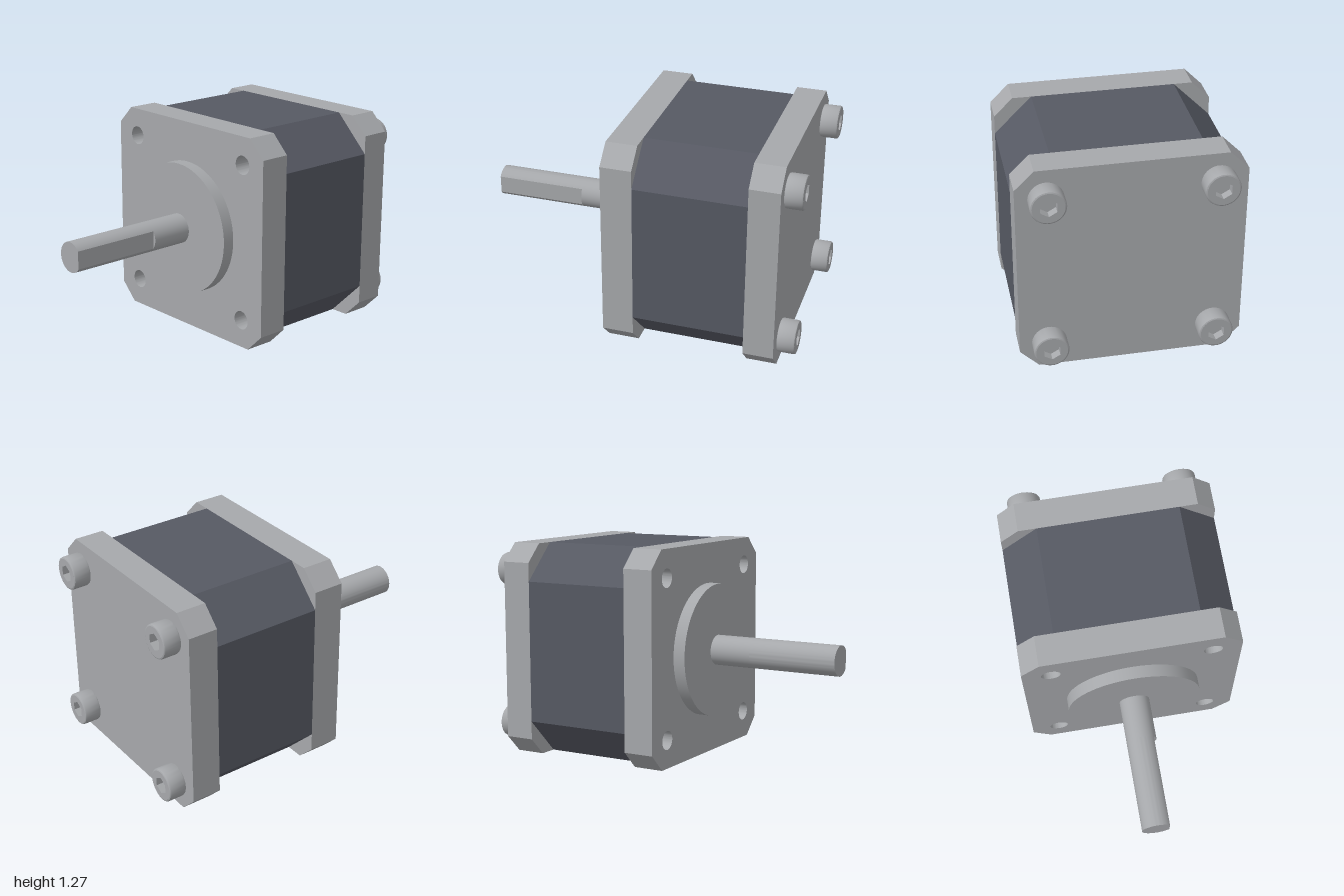
import * as THREE from 'three';
import { toCreasedNormals } from 'three/addons/utils/BufferGeometryUtils.js';

const HALF = 0.6375;   // half width of the square housing
const BOLT = 0.47;     // bolt offset from the axis

// square outline with chamfered corners
function chamferedSquare(cut) {
  const a = HALF, b = HALF - cut;
  return new THREE.Shape([
    [b, -a], [a, -b], [a, b], [b, a], [-b, a], [-a, b], [-a, -b], [-b, -a],
  ].map(([x, y]) => new THREE.Vector2(x, y)));
}

function circlePath(x, y, r) {
  const p = new THREE.Path();
  p.absarc(x, y, r, 0, Math.PI * 2, true);
  return p;
}

// extrude a shape along z between two planes, keeping hard edges crisp
function slab(shape, z0, z1) {
  const g = new THREE.ExtrudeGeometry(shape, { depth: z1 - z0, bevelEnabled: false, curveSegments: 32 });
  g.translate(0, 0, z0);
  return toCreasedNormals(g, 0.5);
}

function rod(r, z0, z1) {
  const g = new THREE.CylinderGeometry(r, r, z1 - z0, 64);
  return g.rotateX(Math.PI / 2).translate(0, 0, (z0 + z1) / 2);
}

export function createModel() {
  const metal = new THREE.MeshStandardMaterial({ color: 0xa6a8ab });
  metal.name = 'brushed metal';
  const steel = new THREE.MeshStandardMaterial({ color: 0x565963 });
  steel.name = 'dark laminated steel';

  const model = new THREE.Group();
  model.name = 'stepperMotor';
  const motor = new THREE.Group();
  motor.name = 'motor';
  motor.position.y = HALF;
  model.add(motor);

  const add = (name, geometry, material, parent = motor) => {
    const mesh = new THREE.Mesh(geometry, material);
    mesh.name = name;
    parent.add(mesh);
    return mesh;
  };
  const corners = [[1, 1], [-1, 1], [-1, -1], [1, -1]];

  // housing: dark core between two end caps
  add('statorBody', slab(chamferedSquare(0.2175), -0.715, -0.055), steel);
  add('backCap', slab(chamferedSquare(0.108), -0.893, -0.715), metal);
  const front = chamferedSquare(0.108);
  for (const [sx, sy] of corners) front.holes.push(circlePath(sx * BOLT, sy * BOLT, 0.056));
  add('frontCap', slab(front, -0.055, 0.13), metal);

  // floors of the mounting holes
  for (const [sx, sy] of corners) {
    const floor = add('mountingHoleFloor', new THREE.CircleGeometry(0.058, 32), metal);
    floor.position.set(sx * BOLT, sy * BOLT, -0.05);
  }

  // centring boss and D-cut shaft
  add('pilotBoss', rod(0.398, 0.12, 0.203), metal);
  add('shaftRoot', rod(0.09, 0.19, 0.46), metal);
  const dCut = new THREE.Shape();
  const a = Math.acos(0.073 / 0.09);
  dCut.absarc(0, 0, 0.09, a, Math.PI * 2 - a, false);
  dCut.closePath();
  add('shaftFlatEnd', slab(dCut, 0.46, 1), metal);

  // socket head screws on the back
  const r = 0.099, e = 0.01, h = 0.107;
  const rimProfile = [
    [r - e, 0], [r - e * 0.3, e * 0.3], [r, e], [r, h - e], [r - e * 0.3, h - e * 0.3], [r - e, h],
  ].map(([x, y]) => new THREE.Vector2(x, y));
  const rim = toCreasedNormals(new THREE.LatheGeometry(rimProfile, 40), 0.5).rotateX(-Math.PI / 2);
  const core = rod(r - e, -0.057, 0);
  const faceShape = new THREE.Shape();
  faceShape.absarc(0, 0, r - e, 0, Math.PI * 2, false);
  const hex = [];
  for (let i = 0; i < 6; i++) {
    const t = Math.PI / 6 - i * Math.PI / 3;
    hex.push(new THREE.Vector2(Math.cos(t) * 0.052, Math.sin(t) * 0.052));
  }
  faceShape.holes.push(new THREE.Path(hex));
  const face = slab(faceShape, -h, -0.057);
  for (const [sx, sy] of corners) {
    const screw = new THREE.Group();
    screw.name = 'socketScrew';
    screw.position.set(sx * BOLT, sy * BOLT, -0.893);
    add('screwRim', rim, metal, screw);
    add('screwCore', core, metal, screw);
    add('screwHexSocket', face, metal, screw);
    motor.add(screw);
  }

  return model;
}
